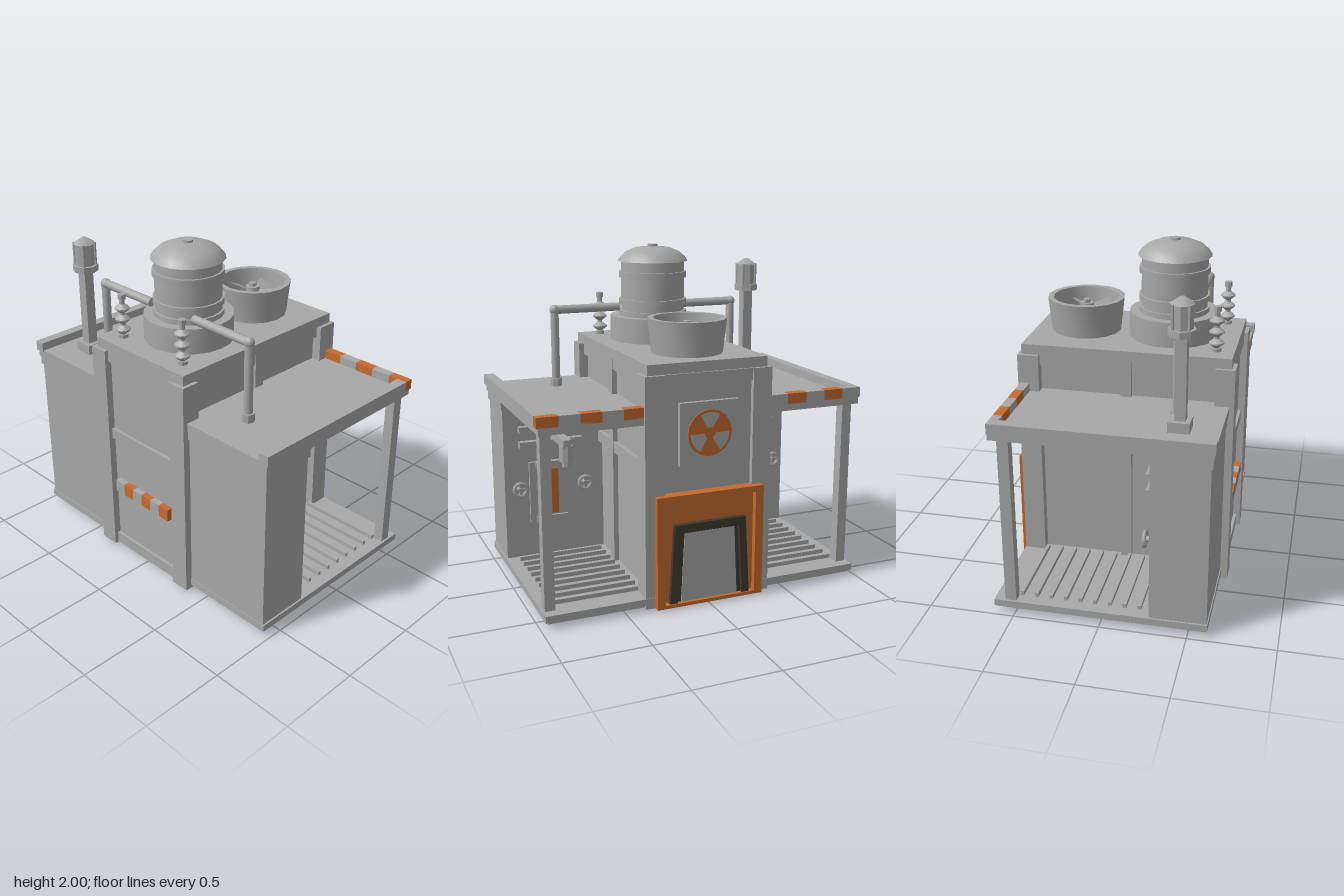
import * as THREE from 'three';
import { toCreasedNormals } from 'three/addons/utils/BufferGeometryUtils.js';

const mat = (name, color, side = THREE.FrontSide) => {
  const m = new THREE.MeshStandardMaterial({ color, side });
  m.name = name;
  return m;
};

export function createModel() {
  const root = new THREE.Group();
  root.name = 'generatorStation';
  const grey = mat('metalGrey', 0xa8a8a8, THREE.DoubleSide);
  const orange = mat('warningOrange', 0xc46a30);
  const dark = mat('darkTrim', 0x40382e);

  const add = (name, geo, m = grey, parent = root) => {
    const mesh = new THREE.Mesh(geo, m);
    mesh.name = name;
    parent.add(mesh);
    return mesh;
  };
  // Box given by its limits on each axis
  const box = (name, x0, x1, y0, y1, z0, z1, m = grey, parent = root) => {
    const mesh = add(name, new THREE.BoxGeometry(Math.abs(x1 - x0), y1 - y0, z1 - z0), m, parent);
    mesh.position.set((x0 + x1) / 2, (y0 + y1) / 2, (z0 + z1) / 2);
    return mesh;
  };
  // Upright cylinder from y0 to y1
  const cyl = (name, x, z, y0, y1, rBottom, rTop = rBottom, n = 12, m = grey, parent = root) => {
    const geo = toCreasedNormals(new THREE.CylinderGeometry(rTop, rBottom, y1 - y0, n), 0.7);
    const mesh = add(name, geo, m, parent);
    mesh.position.set(x, (y0 + y1) / 2, z);
    return mesh;
  };
  const lathe = (name, x, z, profile, n) => {
    const geo = new THREE.LatheGeometry(profile.map(p => new THREE.Vector2(...p)), n);
    const mesh = add(name, toCreasedNormals(geo, 0.6), grey);
    mesh.position.set(x, 0, z);
    return mesh;
  };

  // Central housing
  box('baseSkid', -0.32, 0.32, 0, 0.03, -0.57, 0.6);
  box('housing', -0.33, 0.33, 0.02, 1.36, -0.585, 0.605);
  box('housingRoof', -0.365, 0.365, 1.36, 1.42, -0.595, 0.625);
  for (const [y0, y1] of [[0.02, 0.09], [0.78, 0.845], [1.29, 1.36]]) {
    box('frontBeam', -0.27, 0.27, y0, y1, 0.6, 0.625);
    if (y0 > 1) box('backBeam', -0.27, 0.27, y0, y1, -0.605, -0.58);
  }
  for (const s of [-1, 1]) {
    box('frontPillar', s * 0.27, s * 0.387, 0.015, 1.36, 0.535, 0.648);
    box('backPillar', s * 0.27, s * 0.387, 0.015, 1.36, -0.615, -0.49);
    box('sidePost', s * 0.32, s * 0.36, 0.04, 1.36, -0.012, 0.052);
    for (const y of [0.78, 1.29]) box('sideBeam', s * 0.32, s * 0.355, y, y + 0.066, -0.5, 0.55);
  }

  // Front warning strip
  for (let i = 0; i < 6; i++) {
    const x = -0.235 + i * 0.0775;
    box('frontWarningStrip', x, x + 0.0775, 0.43, 0.505, 0.605, 0.643, i % 2 ? orange : grey);
  }

  // Side wings
  for (const s of [-1, 1]) {
    const wing = new THREE.Group();
    wing.name = s > 0 ? 'leftWing' : 'rightWing';
    root.add(wing);
    const b = (name, x0, x1, y0, y1, z0, z1, m = grey) =>
      box(name, s * x0, s * x1, y0, y1, z0, z1, m, wing);
    b('floorUnderside', 0.32, 0.955, 0.025, 0.04, -0.6, 0.6);
    b('floor', 0.33, 0.973, 0.04, 0.08, -0.618, 0.61);
    for (let i = 0; i < 9; i++) b('floorSlat', 0.37, 0.9, 0.08, 0.105, 0.205 - i * 0.086, 0.225 - i * 0.086);
    b('cabinet', 0.33, 0.962, 0.06, 1.05, 0.28, 0.605);
    b('cabinetCap', 0.33, 0.97, 1.035, 1.1, 0.27, 0.615);
    b('wingRoof', 0.33, 0.977, 1.09, 1.14, -0.6, 0.62);
    b('roofSideTrim', 0.925, 0.988, 1.13, 1.19, -0.548, 0.628);
    b('cornerPost', 0.9, 0.96, 0.08, 1.09, -0.555, -0.49);
    for (let i = 0; i < 5; i++) {
      const x = 0.38 + i * 0.1216;
      const on = s > 0 ? i % 2 === 0 : i % 2 === 1;
      b('roofWarningTrim', x, x + 0.1216, 1.13, 1.19, -0.6, -0.547, on ? orange : grey);
    }

    // Control panel on the back of the cabinet
    b('controlPanel', 0.53, 0.81, 0.3, 0.69, 0.26, 0.285);
    b('panelStrip', 0.63, 0.71, 0.35, 0.64, 0.253, 0.262, orange);
    for (const y of [0.3, 0.65]) b('panelBar', 0.57, 0.77, y, y + 0.04, 0.243, 0.262);
    for (const y of [0.79, 0.885]) b('louver', 0.47, 0.87, y, y + 0.038, 0.24, 0.285);
    for (const x of [0.46, 0.875]) {
      const wheel = add('valveWheel', new THREE.TorusGeometry(0.04, 0.012, 6, 12), grey, wing);
      wheel.position.set(s * x, 0.53, 0.24);
      b('valveSpoke', x - 0.04, x + 0.04, 0.522, 0.538, 0.233, 0.247);
      b('valveSpoke', x - 0.008, x + 0.008, 0.49, 0.57, 0.233, 0.247);
      const stem = cyl('valveStem', s * x, 0.255, 0.5, 0.56, 0.016, 0.016, 8, grey, wing);
      stem.rotation.x = Math.PI / 2;
    }

    // Roof pipe into the tank
    cyl('pipeFlange', s * 0.595, 0.36, 1.14, 1.19, 0.037, 0.037, 8);
    cyl('pipeRiser', s * 0.595, 0.36, 1.18, 1.61, 0.026);
    const run = cyl('pipeRun', s * 0.385, 0.36, 1.4, 1.82, 0.026);
    run.rotation.z = Math.PI / 2;
    add('pipeElbow', new THREE.SphereGeometry(0.031, 12, 8)).position.set(s * 0.595, 1.61, 0.36);

    // Insulator stack
    cyl('insulatorPost', s * 0.25, 0.52, 1.42, 1.66, 0.016, 0.016, 8);
    cyl('insulatorFoot', s * 0.25, 0.52, 1.42, 1.44, 0.028, 0.028, 8);
    for (const y of [1.47, 1.535, 1.6]) {
      lathe('insulatorDisc', s * 0.25, 0.52, [[0.014, y - 0.028], [0.044, y - 0.004], [0.044, y + 0.004], [0.014, y + 0.028]], 10);
    }
    cyl('insulatorCap', s * 0.25, 0.52, 1.655, 1.685, 0.023, 0.023, 8);
  }

  // Work lamp on an arm, one side only
  box('lampArm', 0.635, 0.685, 0.85, 0.9, -0.065, 0.28);
  cyl('lampBody', 0.66, -0.027, 0.765, 0.86, 0.043, 0.043, 8);
  cyl('lampBulb', 0.66, -0.027, 0.73, 0.77, 0.027, 0.027, 8);

  // Storage tank with domed lid
  cyl('tankBase', 0, 0.235, 1.42, 1.57, 0.262, 0.262, 20);
  cyl('tankBody', 0, 0.235, 1.57, 1.91, 0.194, 0.194, 20);
  for (const y of [1.635, 1.8]) cyl('tankBand', 0, 0.235, y, y + 0.037, 0.207, 0.207, 20);
  cyl('tankFoot', 0, 0.235, 1.57, 1.6, 0.207, 0.207, 20);
  lathe('tankDome', 0, 0.235, [[0, 1.9], [0.215, 1.9], [0.198, 1.925], [0.165, 1.955], [0.105, 1.98], [0, 1.99]], 20);
  cyl('tankCap', 0, 0.235, 1.975, 2, 0.03, 0.03, 10);

  // Cooling fan
  lathe('fanShroud', 0, -0.295, [[0.208, 1.42], [0.23, 1.62], [0.197, 1.62], [0.185, 1.42]], 16);
  cyl('fanHub', 0, -0.295, 1.42, 1.58, 0.042, 0.042, 10);
  cyl('fanHubCap', 0, -0.295, 1.58, 1.6, 0.022, 0.022, 8);
  const blade = new THREE.Shape([[0.02, -0.018], [0.182, -0.048], [0.182, 0.048], [0.02, 0.018]].map(p => new THREE.Vector2(...p)));
  for (let i = 0; i < 5; i++) {
    const pivot = new THREE.Group();
    pivot.name = 'fanBlade';
    pivot.position.set(0, 1.545, -0.295);
    pivot.rotation.y = i * Math.PI * 0.4 + 0.55;
    root.add(pivot);
    add('blade', new THREE.ShapeGeometry(blade), grey, pivot).rotation.x = -Math.PI / 2 + 0.4;
  }

  // Beacon mast
  box('mastFoot', -0.79, -0.67, 1.13, 1.2, 0.34, 0.46);
  box('mast', -0.763, -0.7, 1.19, 1.69, 0.37, 0.433);
  cyl('beaconCollar', -0.73, 0.4, 1.67, 1.708, 0.077, 0.077, 8);
  cyl('beacon', -0.73, 0.4, 1.7, 1.84, 0.06, 0.06, 8);
  cyl('beaconTop', -0.73, 0.4, 1.84, 1.878, 0.068, 0.012, 8);
  for (let i = 0; i < 4; i++) {
    const a = Math.PI / 4 + i * Math.PI / 2;
    cyl('beaconGuard', -0.73 + 0.062 * Math.cos(a), 0.4 + 0.062 * Math.sin(a), 1.7, 1.845, 0.009, 0.009, 6);
  }

  // Back sign with a three-bladed fan mark
  box('signPlate', -0.18, 0.18, 0.835, 1.195, -0.612, -0.58);
  const disc = cyl('signDisc', 0, -0.615, 1.01, 1.02, 0.135, 0.135, 16, orange);
  disc.rotation.x = Math.PI / 2;
  for (let i = 0; i < 3; i++) {
    const a = Math.PI / 3 + i * Math.PI * 2 / 3;
    const wedge = add('signWedge', new THREE.RingGeometry(0.032, 0.12, 6, 1, a, Math.PI / 3));
    wedge.rotation.y = Math.PI;
    wedge.position.set(0, 1.015, -0.622);
  }

  // Back doorway
  box('doorBacking', -0.32, 0.32, 0.02, 0.66, -0.617, -0.58, orange);
  box('doorLintel', -0.33, 0.33, 0.645, 0.68, -0.652, -0.58, orange);
  box('doorSill', -0.33, 0.33, 0.015, 0.035, -0.652, -0.58, orange);
  for (const s of [-1, 1]) {
    box('doorJamb', s * 0.28, s * 0.33, 0.02, 0.66, -0.652, -0.58, orange);
    const bar = box('doorSideBar', s * 0.19, s * 0.235, 0.03, 0.5, -0.645, -0.61, dark);
    bar.rotation.z = s * 0.06;
  }
  box('doorTopBar', -0.22, 0.22, 0.455, 0.505, -0.65, -0.61, dark);
  const panel = new THREE.Shape([[-0.21, 0.035], [0.21, 0.035], [0.185, 0.47], [-0.185, 0.47]].map(p => new THREE.Vector2(...p)));
  add('doorRecess', new THREE.ExtrudeGeometry(panel, { depth: 0.008, bevelEnabled: false }), dark).position.z = -0.625;
  const leaf = add('doorLeaf', new THREE.ExtrudeGeometry(panel, { depth: 0.007, bevelEnabled: false }));
  leaf.scale.set(0.84, 0.95, 1);
  leaf.position.z = -0.631;

  return root;
}
